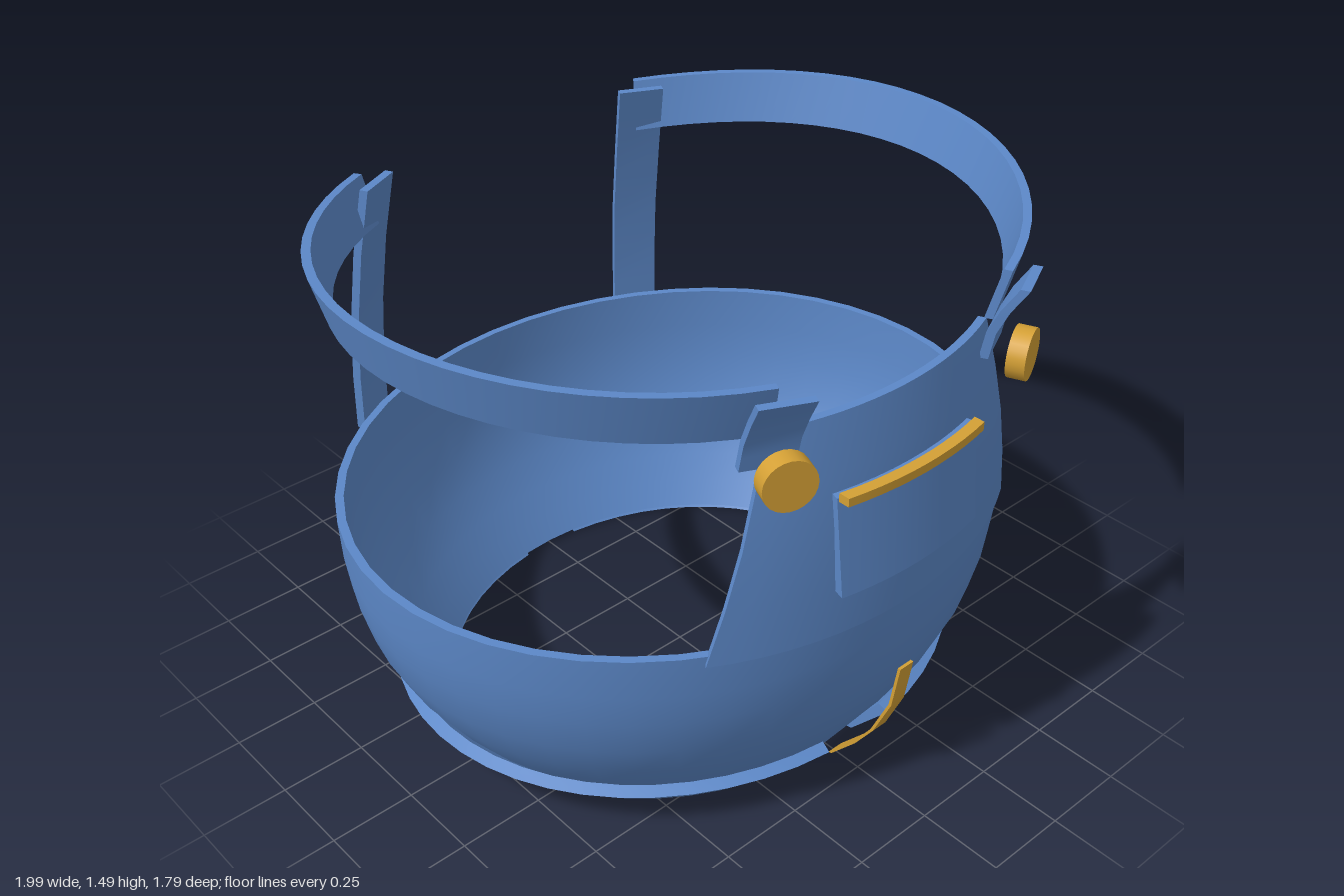
import * as THREE from 'three';
import { toCreasedNormals } from 'three/addons/utils/BufferGeometryUtils.js';

const denim = new THREE.MeshStandardMaterial({ color: 0x5c88c8 });
denim.name = 'denim blue';
const brass = new THREE.MeshStandardMaterial({ color: 0xd4a035 });
brass.name = 'brass';

const { lerp } = THREE.MathUtils;

// point on the oval body: angle from the front, radius, height
const oval = (a, r, y) => [r * Math.sin(a), y, -0.02 + 0.88 * r * Math.cos(a)];

// sample a polyline of number rows at t in 0..1
function along(rows, t) {
  const k = t * (rows.length - 1);
  const i = Math.min(Math.floor(k), rows.length - 2);
  return rows[i].map((n, j) => lerp(n, rows[i + 1][j], k - i));
}

// closed slab from P(u, v, w): u sideways, v up, w from inner to outer skin
function slab(P, nu, nv, closed = false) {
  const pos = [];
  const face = (f, ns, nt) => {
    for (let i = 0; i < ns; i++) {
      for (let j = 0; j < nt; j++) {
        const a = f(i / ns, j / nt), b = f((i + 1) / ns, j / nt);
        const c = f((i + 1) / ns, (j + 1) / nt), d = f(i / ns, (j + 1) / nt);
        pos.push(...a, ...b, ...c, ...a, ...c, ...d);
      }
    }
  };
  face((s, t) => P(s, t, 1), nu, nv);
  face((s, t) => P(1 - s, t, 0), nu, nv);
  face((s, t) => P(t, 1, s), 1, nu);
  face((s, t) => P(s, 0, t), nu, 1);
  if (!closed) {
    face((s, t) => P(1, s, t), nv, 1);
    face((s, t) => P(0, t, s), 1, nv);
  }
  const geo = new THREE.BufferGeometry();
  geo.setAttribute('position', new THREE.Float32BufferAttribute(pos, 3));
  return toCreasedNormals(geo, 0.6);
}

const mirrored = (P) => (u, v, w) => {
  const [x, y, z] = P(1 - u, v, w);
  return [-x, y, z];
};

// flat strap piece following rows of [x, y, z], turned about y by angle
const strip = (rows, width, thick, angle) => (u, v, w) => {
  const [x, y, z] = along(rows, v);
  const s = (u - 0.5) * width, n = (w - 0.5) * thick;
  return [
    x + s * Math.cos(angle) + n * Math.sin(angle),
    y,
    z - s * Math.sin(angle) + n * Math.cos(angle),
  ];
};

export function createModel() {
  const group = new THREE.Group();
  const add = (name, geo, mat = denim) => {
    const mesh = new THREE.Mesh(geo, mat);
    mesh.name = name;
    group.add(mesh);
    return mesh;
  };
  const addPair = (name, P, nu, nv) => {
    add(name + 'Left', slab(P, nu, nv));
    add(name + 'Right', slab(mirrored(P), nu, nv));
  };

  // rounded trouser body, open at top and bottom
  const bodyRows = [[0.735, 0.01], [0.785, 0.08], [0.84, 0.155], [0.9, 0.25],
    [0.95, 0.36], [0.98, 0.48], [0.992, 0.58], [0.997, 0.705]];
  add('body', slab((u, v, w) => {
    const [r, y] = along(bodyRows, v);
    return oval(u * Math.PI * 2, r - (1 - w) * 0.025, y);
  }, 48, 7, true));

  // turned-up hem, split at front and back
  addPair('hem', (u, v, w) => oval(
    lerp(0.135, Math.PI - 0.135, u),
    lerp(0.745, 0.877, v) - (1 - w) * 0.035,
    v * (0.13 + (1 - w) * 0.015),
  ), 24, 1);

  // bib, narrowing and leaning in toward the top
  const bibRows = [[1.008, 0.68, 0.56], [1.003, 0.84, 0.517], [0.99, 1.0, 0.473],
    [0.967, 1.15, 0.432], [0.935, 1.3, 0.39]];
  add('bib', slab((u, v, w) => {
    const [r, y, half] = along(bibRows, v);
    return oval(lerp(-1, 1, u) * Math.asin(half / r), r - (1 - w) * 0.025, y);
  }, 16, 4));

  // pocket and its trim
  add('pocket', slab((u, v, w) => {
    const r = lerp(1.04, 1.0, v);
    return oval(lerp(-1, 1, u) * Math.asin(0.25 / r), r - (1 - w) * 0.045, lerp(0.82, 1.1, v));
  }, 10, 2));
  add('pocketTrim', slab((u, v, w) => {
    const r = lerp(1.0, 1.035, w);
    return oval(lerp(-1, 1, u) * Math.asin(0.245 / r), r, lerp(1.09, 1.115, v));
  }, 10, 1), brass);

  // front fly strip
  const flyRows = [[0, 0.01, 0.665], [0, 0.11, 0.75], [0, 0.2, 0.81],
    [0, 0.33, 0.865], [0, 0.47, 0.885]];
  add('fly', slab(strip(flyRows, 0.05, 0.009, 0), 1, 8), brass);

  // shoulder bands looping round the sides, flared at the top edge
  addPair('shoulderBand', (u, v, w) => {
    const a = lerp(0.42, Math.PI - 0.53, u);
    const y = 1.345 - 0.05 * Math.cos(a) ** 2;
    return oval(a, lerp(0.955, 0.995, v) - (1 - w) * 0.025, y + v * 0.145);
  }, 24, 1);

  // front strap tabs curling outward
  addPair('frontTab', strip([[0.4, 1.22, 0.74], [0.4, 1.3, 0.755], [0.408, 1.37, 0.785],
    [0.425, 1.44, 0.825]], 0.14, 0.025, 0.45), 1, 6);

  // back straps down to the waist
  addPair('backStrap', mirrored((u, v, w) => {
    const rows = [[0.515, 0.65, -0.805], [0.513, 0.83, -0.8], [0.505, 1.03, -0.783],
      [0.493, 1.24, -0.75], [0.475, 1.445, -0.708]];
    return strip(rows, 0.135, 0.025, Math.PI - 0.45)(u, v, w);
  }), 1, 8);

  // round buttons
  for (const s of [1, -1]) {
    const geo = new THREE.CylinderGeometry(0.07, 0.07, 0.05, 24);
    geo.rotateX(Math.PI / 2);
    geo.rotateY(s * 0.4);
    geo.translate(s * 0.42, 1.23, 0.828);
    add(s > 0 ? 'buttonLeft' : 'buttonRight', geo, brass);
  }
  return group;
}
